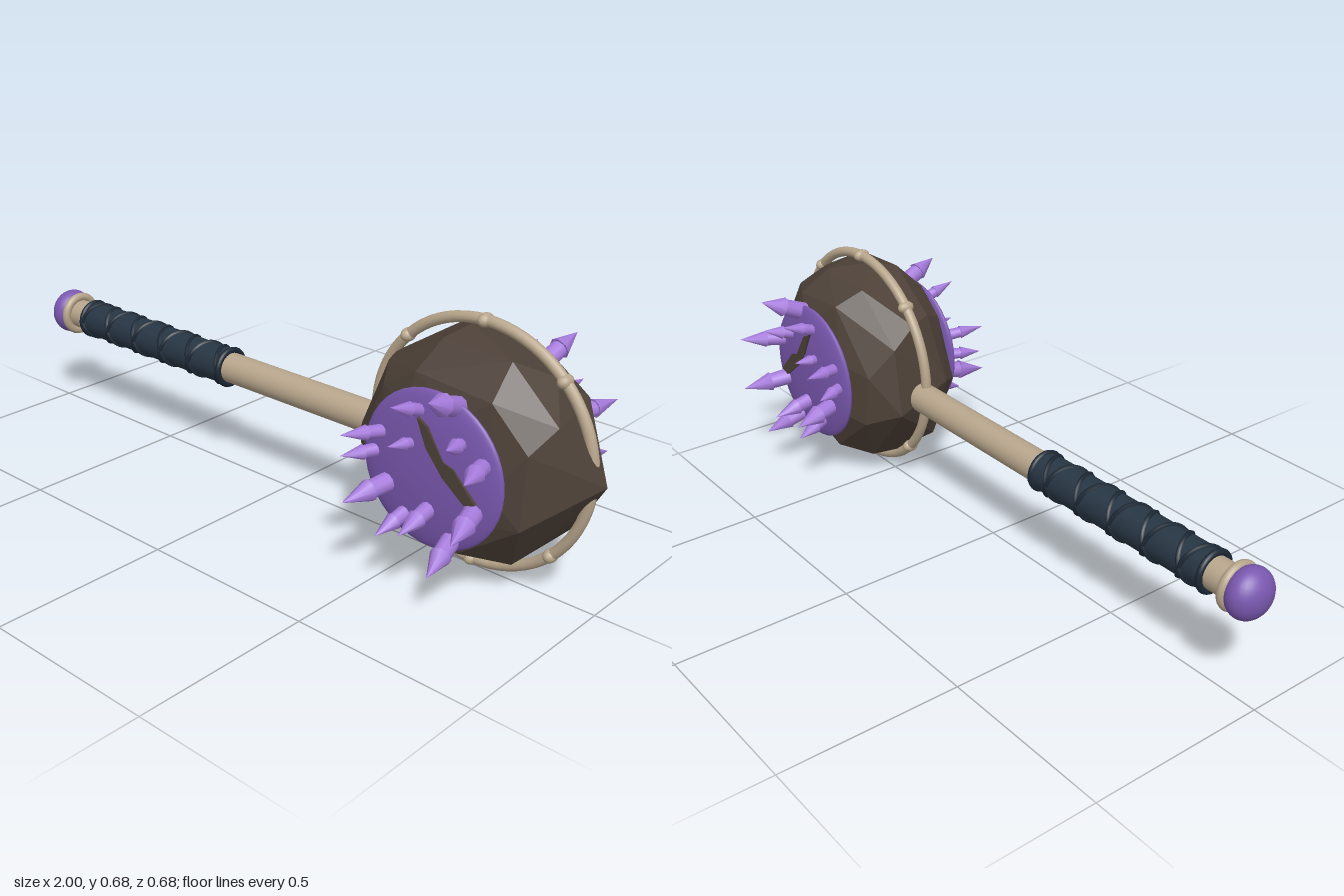
import * as THREE from 'three';
import { ConvexGeometry } from 'three/addons/geometries/ConvexGeometry.js';

const mat = (name, color, extra = {}) => {
  const m = new THREE.MeshStandardMaterial({ color, ...extra });
  m.name = name;
  return m;
};

export function createModel() {
  const wood = mat('pale wood', 0xb8a68c);
  const leather = mat('navy leather', 0x273543);
  const cord = mat('dark cord', 0x1c2835);
  const stone = mat('dark stone', 0x4d4138, { flatShading: true });
  const plate = mat('purple plate', 0x7a58b0);
  const crystal = mat('bright crystal', 0xa67bdc);

  const group = new THREE.Group();
  group.name = 'mace';
  const add = (parent, name, geo, m, x = 0, y = 0, z = 0) => {
    const mesh = new THREE.Mesh(geo, m);
    mesh.name = name;
    mesh.position.set(x, y, z);
    parent.add(mesh);
    return mesh;
  };

  // Handle, lying along x
  const handle = new THREE.Group();
  handle.name = 'handle';
  handle.position.y = 0.315;
  group.add(handle);
  const rod = (name, x0, x1, r, m) =>
    add(handle, name, new THREE.CylinderGeometry(r, r, x1 - x0, 24).rotateZ(Math.PI / 2), m, (x0 + x1) / 2);
  const ring = (name, x, r, tube, m) =>
    add(handle, name, new THREE.TorusGeometry(r, tube, 10, 28).rotateY(Math.PI / 2), m, x);
  rod('shaft', -0.94, 0.4, 0.044, wood);
  rod('grip', -0.84, -0.225, 0.053, leather);
  for (const x of [-0.838, -0.227]) ring('gripEnd', x, 0.051, 0.009, cord);
  ring('pommelCollar', -0.913, 0.054, 0.013, wood);
  add(handle, 'pommel', new THREE.SphereGeometry(0.068, 28, 18).scale(0.75, 1, 1), plate, -0.949);

  // Two crossing cords wound around the grip
  for (const dir of [1, -1]) {
    const pts = [];
    for (let i = 0; i <= 80; i++) {
      const t = i / 80, a = dir * t * Math.PI * 10;
      pts.push(new THREE.Vector3(-0.835 + 0.605 * t, 0.052 * Math.sin(a), 0.052 * Math.cos(a)));
    }
    add(handle, 'gripCord', new THREE.TubeGeometry(new THREE.CatmullRomCurve3(pts), 200, 0.007, 6), cord);
  }

  // Head
  const head = new THREE.Group();
  head.name = 'head';
  head.position.set(0.64, 0.35, 0);
  group.add(head);

  // Faceted boulder: convex hull of uneven rings with a point at the far end
  let seed = 7;
  const rand = () => (seed = (seed * 16807) % 2147483647) / 2147483647;
  const hull = [new THREE.Vector3(0.36, 0, 0)];
  const rings = [[0, 0.305, 8], [0.08, 0.3, 9], [-0.08, 0.3, 9], [0.15, 0.24, 8], [-0.15, 0.24, 8], [0.19, 0.15, 6], [-0.19, 0.15, 6]];
  rings.forEach(([z, r, n], k) => {
    for (let i = 0; i < n; i++) {
      const a = ((i + k * 0.37 + rand() * 0.4) / n) * Math.PI * 2;
      const q = r * (0.94 + rand() * 0.1);
      hull.push(new THREE.Vector3(q * Math.cos(a) * 1.03, q * Math.sin(a), z + (rand() - 0.5) * 0.02));
    }
  });
  add(head, 'boulder', new ConvexGeometry(hull), stone);

  // Hoop with bead knots
  add(head, 'hoop', new THREE.TorusGeometry(0.322, 0.0147, 12, 72), wood);
  for (const deg of [45, 90, 135, 225, 270, 315]) {
    const a = THREE.MathUtils.degToRad(deg);
    add(head, 'hoopBead', new THREE.SphereGeometry(1, 14, 10).scale(0.018, 0.018, 0.025), wood,
      0.322 * Math.cos(a), 0.322 * Math.sin(a));
  }

  // Spikes: tip x, tip y, tip z, radius
  const spikes = [
    [0.07, 0.225, 0.31, 0.028], [-0.04, 0.18, 0.305, 0.018], [0.11, 0.115, 0.29, 0.019],
    [0.19, 0.07, 0.33, 0.024], [-0.18, 0.07, 0.315, 0.019], [-0.06, 0.068, 0.285, 0.016],
    [-0.2, 0, 0.29, 0.019], [-0.15, -0.09, 0.34, 0.028], [0.01, -0.125, 0.325, 0.024],
    [0.17, -0.085, 0.34, 0.028], [-0.08, -0.17, 0.3, 0.022], [0.09, -0.21, 0.315, 0.027],
  ];
  const up = new THREE.Vector3(0, 1, 0);
  const sliver = new THREE.Shape([
    [-0.03, 0.13], [0, 0.06], [0.05, 0], [0.115, -0.05], [0.145, -0.04], [0.08, 0.03], [0.05, 0.04], [0, 0.115],
  ].map(([x, y]) => new THREE.Vector2(x, y)));

  // Same plate and spikes on both faces
  for (const s of [1, -1]) {
    const side = new THREE.Group();
    side.name = s > 0 ? 'frontSpikes' : 'backSpikes';
    head.add(side);
    add(side, 'spikePlate', new THREE.SphereGeometry(0.205, 40, 20).scale(1, 1, 0.135), plate, 0, -0.006, s * 0.187);
    add(side, 'stoneSliver', new THREE.ExtrudeGeometry(sliver, { depth: 0.025, bevelEnabled: false }),
      stone, 0, 0, s > 0 ? 0.192 : -0.217);
    for (const [x, y, z, r] of spikes) {
      const base = new THREE.Vector3(x * 0.74, y * 0.74, s * 0.17);
      const dir = new THREE.Vector3(x, y, s * z).sub(base);
      const len = dir.length();
      const spike = new THREE.Group();
      spike.name = 'spike';
      spike.position.copy(base);
      spike.quaternion.setFromUnitVectors(up, dir.normalize());
      side.add(spike);
      add(spike, 'spikeShaft', new THREE.CylinderGeometry(r * 0.85, r * 0.95, len * 0.56, 10), crystal, 0, len * 0.28);
      add(spike, 'spikeTip', new THREE.ConeGeometry(r * 1.05, len * 0.48, 8), crystal, 0, len * 0.76);
    }
  }
  return group;
}
